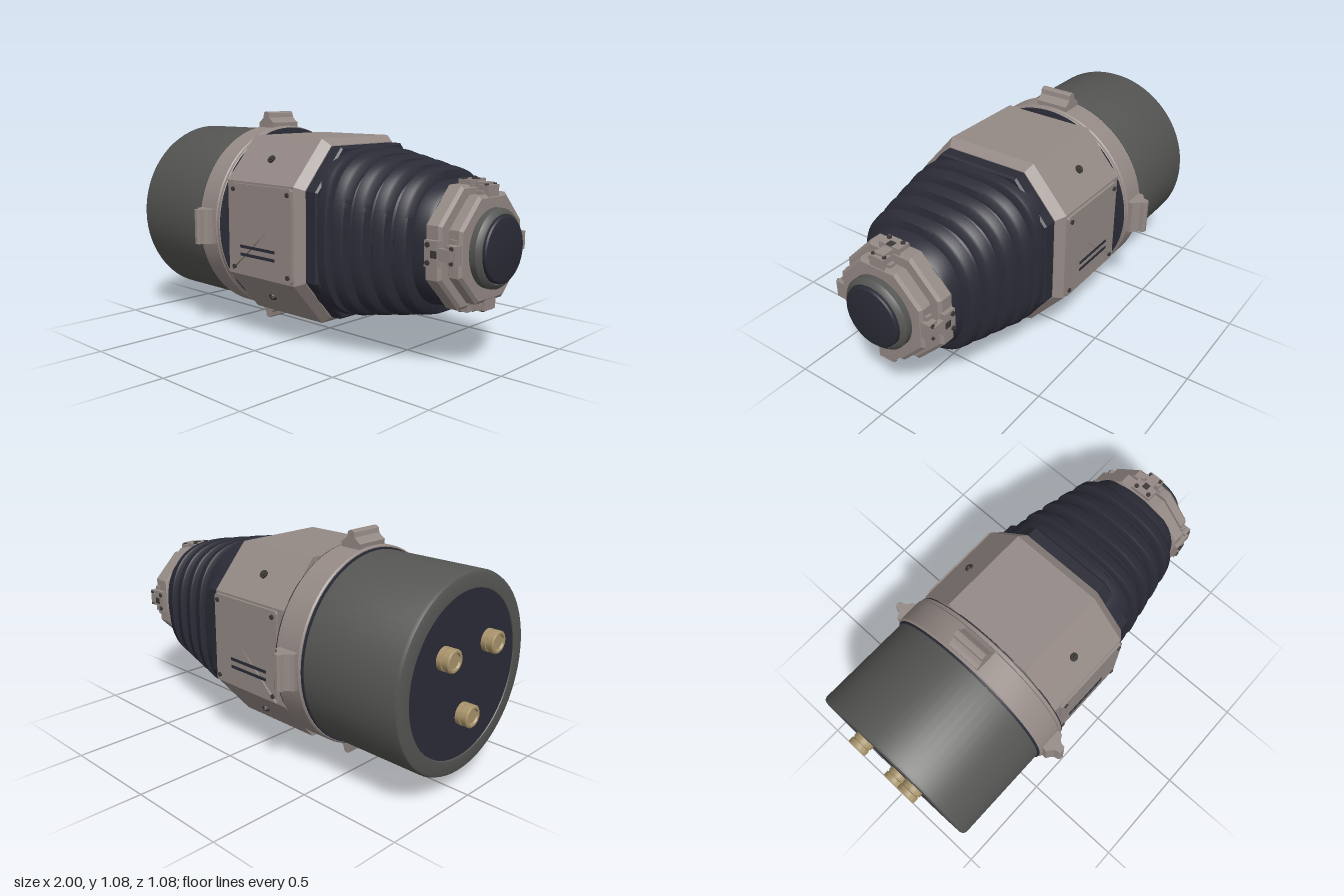
import * as THREE from 'three';
import { toCreasedNormals } from 'three/addons/utils/BufferGeometryUtils.js';

const mat = (name, color) => Object.assign(new THREE.MeshStandardMaterial({ color }), { name });

// Cross-sections as unit [y, z] loops running from +y towards +z
const circle = (n) => () => Array.from({ length: n }, (_, i) => {
  const t = (i / n) * Math.PI * 2;
  return [Math.cos(t), Math.sin(t)];
});
// Octagon: a = half width of the top edge, b = half height of the side edge
const octagon = (a, b) => () =>
  [[1, -a], [1, a], [b, 1], [-b, 1], [-1, a], [-1, -a], [-b, -1], [b, -1]];
// Rounded square, becoming rounder towards the nose
const squircle = (x) => {
  const e = 2 / THREE.MathUtils.mapLinear(x, 0.22, 0.79, 3.1, 2.4);
  return circle(72)().map((p) => p.map((v) => Math.sign(v) * Math.abs(v) ** e));
};

// Skin a list of [x, ry, rz] rings along the x axis
function loft(rings, section, crease = 0.5) {
  const pos = [], index = [];
  let n = 0;
  rings.forEach(([x, ry, rz = ry]) => {
    const loop = section(x);
    n = loop.length;
    loop.forEach(([y, z]) => pos.push(x, y * ry, z * rz));
  });
  for (let r = 0; r < rings.length - 1; r++) {
    for (let i = 0; i < n; i++) {
      const a = r * n + i, b = r * n + ((i + 1) % n);
      if (rings[r][1] > 0) index.push(a, b, a + n);
      if (rings[r + 1][1] > 0) index.push(b, b + n, a + n);
    }
  }
  const g = new THREE.BufferGeometry();
  g.setAttribute('position', new THREE.Float32BufferAttribute(pos, 3));
  g.setIndex(index);
  return toCreasedNormals(g, crease);
}

export function createModel() {
  const model = new THREE.Group();
  const unit = new THREE.Group();
  unit.name = 'unit';
  unit.position.y = 0.54;
  model.add(unit);

  const taupe = mat('taupe metal', 0x948985);
  const grey = mat('dark grey shell', 0x555553);
  const navy = mat('navy rubber', 0x2a2b36);
  const black = mat('dark screw', 0x3b3836);
  const brass = mat('brass', 0xa8936a);

  const add = (name, geometry, material, parent = unit, p = [0, 0, 0]) => {
    const m = new THREE.Mesh(geometry, material);
    m.name = name;
    m.position.set(...p);
    parent.add(m);
    return m;
  };
  const box = (name, size, p, material, parent) =>
    add(name, new THREE.BoxGeometry(...size), material, parent, p);
  const screw = (name, r, h, p, angle, parent) => {
    const m = add(name, new THREE.CylinderGeometry(r, r, h, 12), black, parent, p);
    m.rotation.x = angle;
  };
  const round = circle(72);

  // Rear drum with softened rim and dark end plate
  add('rearDrum', loft([[-0.935, 0], [-0.935, 0.37], [-0.945, 0.375], [-0.945, 0.43], [-0.939, 0.444],
    [-0.925, 0.45], [-0.43, 0.45]], round), grey);
  add('rearPlate', loft([[-0.941, 0], [-0.941, 0.372], [-0.93, 0.372]], round), navy);

  // Brass connectors
  [[0.12, 0.157], [0.12, -0.157], [-0.17, 0]].forEach(([y, z]) => {
    const g = loft([[-0.992, 0], [-0.992, 0.032], [-1, 0.036], [-1, 0.045], [-0.995, 0.051], [-0.972, 0.051],
      [-0.97, 0.046], [-0.964, 0.046], [-0.962, 0.051], [-0.935, 0.051]], circle(28));
    add('connector', g, brass, unit, [0, y, z]);
  });

  // Collar with dark seams
  add('collarSeam', loft([[-0.446, 0.44], [-0.446, 0.458], [-0.43, 0.458]], round), navy);
  add('collar', loft([[-0.437, 0.44], [-0.437, 0.462], [-0.43, 0.468], [-0.31, 0.468], [-0.305, 0.463],
    [-0.29, 0.463], [-0.285, 0.458], [-0.285, 0.45]], round), taupe);
  add('collarFront', loft([[-0.3, 0.46], [-0.282, 0.46], [-0.28, 0.454], [-0.28, 0]], round), navy);

  // Octagonal housing with bevelled front
  add('housing', loft([[-0.284, 0], [-0.284, 0.43, 0.41], [0.172, 0.43, 0.41], [0.215, 0.4, 0.378], [0.215, 0]],
    octagon(0.23 / 0.41, 0.225 / 0.43)), taupe);

  // Side panels with screws and louvres
  [1, -1].forEach((s) => {
    const panel = new THREE.Group();
    panel.name = s > 0 ? 'frontPanel' : 'backPanel';
    unit.add(panel);
    const shape = new THREE.Shape();
    [[-0.24, -0.215], [0.16, -0.215], [0.17, -0.205], [0.17, 0.205], [0.16, 0.215], [-0.24, 0.215],
      [-0.25, 0.205], [-0.25, -0.205]].forEach(([x, y]) => shape.lineTo(x, y));
    const g = new THREE.ExtrudeGeometry(shape, { depth: 0.018, bevelEnabled: false });
    add('panelPlate', g, taupe, panel, [0, 0, s > 0 ? 0.405 : -0.423]);
    [-0.225, 0.147].forEach((x) => [-0.187, 0.187].forEach((y) =>
      screw('panelScrew', 0.011, 0.01, [x, y, s * 0.425], Math.PI / 2, panel)));
    [-0.083, -0.121].forEach((y) =>
      box('louvre', [0.24, 0.014, 0.004], [-0.06, y, s * 0.4235], navy, panel));
    // Bolts on the slanted faces
    [1, -1].forEach((t) => {
      const angle = Math.atan2(s * 0.751, t * 0.66);
      screw('slopeBolt', 0.02, 0.012, [-0.065, t * 0.329, s * 0.322], angle, unit);
      screw('slopeBoltHead', 0.011, 0.024, [-0.065, t * 0.329, s * 0.322], angle, unit);
    });
  });

  // Bellows: octagonal root followed by ribs
  add('bellowsRoot', loft([[0.2, 0.397, 0.375], [0.27, 0.395, 0.373], [0.28, 0.387, 0.366], [0.28, 0]],
    octagon(0.56, 0.52)), navy);
  const rings = [[0.22, 0.385, 0.368], [0.305, 0.388, 0.37], [0.322, 0.383, 0.366], [0.328, 0.37, 0.355],
    [0.332, 0.335, 0.325]];
  [0.381, 0.363, 0.345, 0.326].forEach((r, i) => {
    const x = 0.355 + i * 0.1, v = r - 0.05;
    [[0, v], [0.003, r - 0.008], [0.01, r], [0.05, r - 0.009], [0.06, r - 0.017], [0.067, v - 0.004]]
      .forEach(([dx, q]) => rings.push([x + dx, q, q * 0.965]));
  });
  rings.push([0.78, 0.265, 0.258], [0.795, 0.255, 0.25], [0.795, 0]);
  add('bellows', loft(rings, squircle, 0.7), navy);

  // Nose: two stepped octagons with a groove between
  const oct = octagon(0.43, 0.43);
  add('noseBase', loft([[0.785, 0], [0.785, 0.25], [0.793, 0.262], [0.85, 0.262], [0.862, 0.248], [0.862, 0.205],
    [0.882, 0.205], [0.882, 0.226], [0.925, 0.226], [0.937, 0.212], [0.937, 0]], oct), taupe);
  add('lensRing', loft([[0.93, 0.17], [0.965, 0.17], [0.978, 0.16], [0.985, 0.148], [0.975, 0.143],
    [0.975, 0]], round), grey);
  add('lens', loft([[0.96, 0.143], [0.992, 0.143], [0.998, 0.137], [1, 0.13], [1, 0]], round), navy);

  // Four lugs and four nose latches, one per quarter turn
  const lug = new THREE.Shape();
  [[-0.055, 0.45], [0.055, 0.45], [0.055, 0.485], [0.038, 0.495], [0.022, 0.51], [0.018, 0.532], [0.008, 0.54],
    [-0.008, 0.54], [-0.018, 0.532], [-0.022, 0.51], [-0.038, 0.495], [-0.055, 0.485]]
    .forEach(([x, y]) => lug.lineTo(x, y));
  const lugGeometry = new THREE.ExtrudeGeometry(lug, { depth: 0.166, bevelEnabled: false });
  for (let k = 0; k < 4; k++) {
    const quarter = new THREE.Group();
    quarter.name = 'quarter' + (k + 1);
    quarter.rotation.x = (k * Math.PI) / 2;
    unit.add(quarter);
    add('lug', lugGeometry, taupe, quarter, [-0.37, 0, -0.083]);

    box('latchBase', [0.062, 0.03, 0.11], [0.829, 0.267, 0], taupe, quarter);
    box('latchBridge', [0.1, 0.022, 0.05], [0.868, 0.262, 0], taupe, quarter);
    box('latchFront', [0.045, 0.05, 0.08], [0.912, 0.238, 0], taupe, quarter);
    box('latchSlot', [0.03, 0.004, 0.03], [0.845, 0.283, 0], black, quarter);
    [-0.037, 0.037].forEach((z) => {
      screw('latchScrew', 0.011, 0.012, [0.815, 0.282, z], 0, quarter);
      screw('latchScrew', 0.009, 0.012, [0.918, 0.263, z * 0.8], 0, quarter);
      box('latchEar', [0.03, 0.03, 0.018], [0.905, 0.225, z * 1.4], taupe, quarter);
    });
  }
  return model;
}
